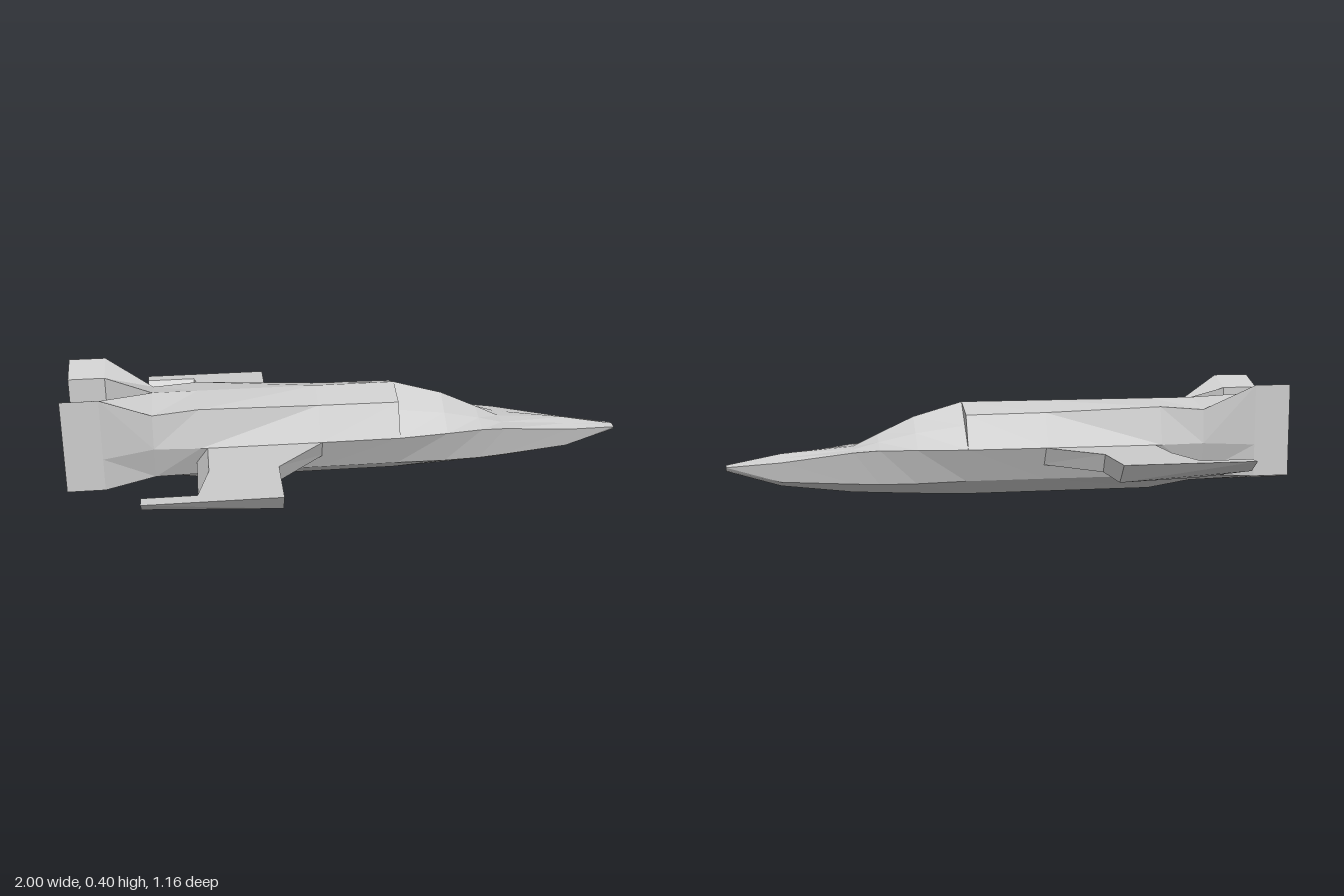
import * as THREE from 'three';

const material = new THREE.MeshStandardMaterial({ color: 0xcccccc, flatShading: true });

// Closed loft through rings of [x, y, z] points; u and v are the axes the end caps are flattened on.
function loft(rings, u, v) {
  const tris = [];
  const n = rings[0].length;
  for (let k = 0; k + 1 < rings.length; k++) {
    for (let i = 0; i < n; i++) {
      const j = (i + 1) % n;
      const [a, b, c, d] = [rings[k][i], rings[k][j], rings[k + 1][j], rings[k + 1][i]];
      tris.push([a, b, c], [a, c, d]);
    }
  }
  const cap = (ring, reverse) => {
    const flat = ring.map((p) => new THREE.Vector2(p[u], p[v]));
    const flip = (THREE.ShapeUtils.area(flat) < 0) !== reverse;
    for (const [a, b, c] of THREE.ShapeUtils.triangulateShape(flat, [])) {
      tris.push(flip ? [ring[a], ring[c], ring[b]] : [ring[a], ring[b], ring[c]]);
    }
  };
  cap(rings[0], true);
  cap(rings[rings.length - 1], false);

  // Turn the whole shell outward if its enclosed volume comes out negative.
  let volume = 0;
  for (const t of tris) {
    const [a, b, c] = t.map((p) => new THREE.Vector3(...p));
    volume += a.dot(b.cross(c));
  }
  if (volume < 0) tris.forEach((t) => t.reverse());

  const geometry = new THREE.BufferGeometry();
  geometry.setAttribute('position', new THREE.Float32BufferAttribute(tris.flat(2), 3));
  geometry.computeVertexNormals();
  return geometry;
}

// Half cross-section: keel, chine, widest side line, shoulder, spine; each given as [y, z].
const section = (x, ...points) => points.map(([y, z]) => [x, y, z]);

// Nose section, whose upper side is one straight slope from side line to spine.
const noseSection = (x, keel, chine, side, spine) =>
  section(x, [keel, 0], chine, side, [(side[0] + spine) / 2, side[1] / 2], [spine, 0]);

export function createModel() {
  const group = new THREE.Group();

  const neck = section(-0.7, [0.025, 0], [0.065, 0.115], [0.185, 0.15], [0.307, 0.14], [0.338, 0]);
  const body = [
    neck,
    section(-0.54, [0, 0], [0.065, 0.11], [0.185, 0.163], [0.32, 0.135], [0.338, 0]),
    section(-0.12, [0, 0], [0.065, 0.107], [0.185, 0.165], [0.305, 0.112], [0.338, 0]),
    section(0.165, [0, 0], [0.065, 0.107], [0.185, 0.163], [0.302, 0.11], [0.338, 0]),
  ];
  const nose = [
    noseSection(0.165, 0, [0.065, 0.107], [0.185, 0.163], 0.338),
    noseSection(0.34, 0.008, [0.06, 0.1], [0.185, 0.143], 0.288),
    noseSection(0.47, 0.015, [0.06, 0.092], [0.185, 0.125], 0.228),
    noseSection(0.56, 0.02, [0.063, 0.083], [0.178, 0.11], 0.185),
    noseSection(0.81, 0.05, [0.072, 0.05], [0.143, 0.066], 0.166),
    noseSection(1, 0.108, [0.113, 0.015], [0.125, 0.024], 0.13),
  ];

  // Tail pods flare out of the neck into tall straight blocks with a gap between them.
  const pod = (x) => section(x, [0.047, 0.11], [0.07, 0.213], [0.185, 0.213], [0.4, 0.213], [0.36, 0.11]);
  const tail = [neck, pod(-0.87), pod(-1)];

  // Wing with bevelled edges and a finger reaching back from the tip; points are [x, z].
  const wingTop = [[-0.1, 0.15], [-0.28, 0.345], [-0.28, 0.58], [-0.735, 0.58],
    [-0.735, 0.53], [-0.555, 0.53], [-0.515, 0.35], [-0.515, 0.14]];
  const wingBottom = [[-0.1, 0.12], [-0.28, 0.32], [-0.28, 0.53], [-0.735, 0.53],
    [-0.735, 0.485], [-0.555, 0.485], [-0.555, 0.33], [-0.555, 0.11]];
  const wing = [
    wingBottom.map(([x, z]) => [x, x < -0.7 ? 0.145 : 0.12, z]),
    wingTop.map(([x, z]) => [x, 0.185, z]),
  ];

  // Every part is one half, built on both sides.
  const parts = [['fuselage', body, 1, 2], ['noseAndCanopy', nose, 1, 2],
    ['tailPod', tail, 1, 2], ['wing', wing, 0, 2]];
  for (const [name, rings, u, v] of parts) {
    for (const side of [1, -1]) {
      const mirrored = rings.map((ring) => ring.map(([x, y, z]) => [x, y, z * side]));
      const mesh = new THREE.Mesh(loft(mirrored, u, v), material);
      mesh.name = name + (side > 0 ? 'Front' : 'Back');
      group.add(mesh);
    }
  }
  return group;
}
